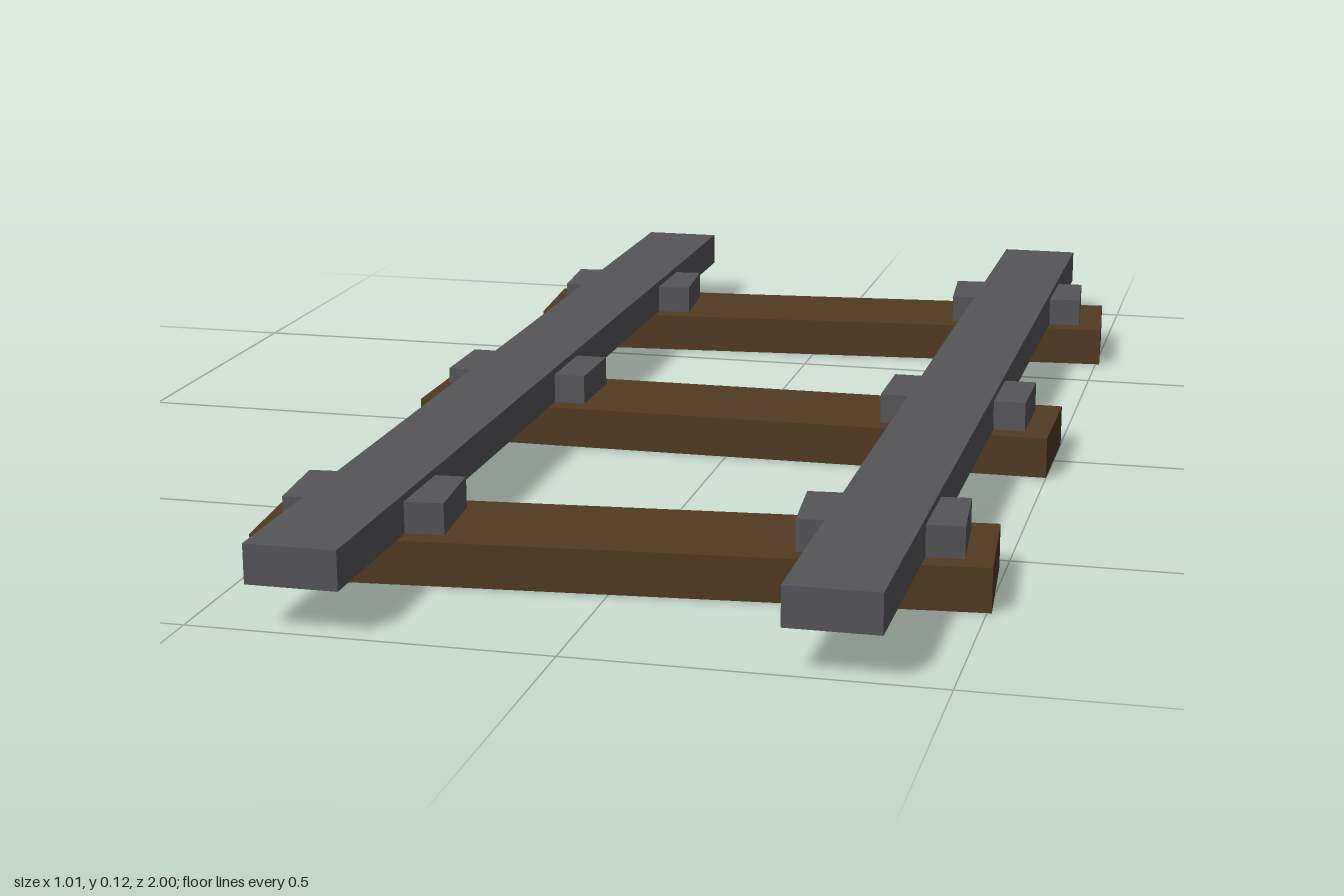
import * as THREE from 'three';

export function createModel() {
  const group = new THREE.Group();
  group.name = 'railTrack';
  const steel = new THREE.MeshStandardMaterial({ name: 'dark steel', color: 0x555559 });
  const wood = new THREE.MeshStandardMaterial({ name: 'brown wood', color: 0x523a21, side: THREE.DoubleSide });

  const addBox = (parent, name, size, pos, material, geometry = new THREE.BoxGeometry(...size)) => {
    const mesh = new THREE.Mesh(geometry, material);
    mesh.name = name;
    mesh.position.set(...pos);
    parent.add(mesh);
  };

  // Box without its underside, for the hollow sleepers
  const openBox = (w, h, d) => {
    const g = new THREE.BoxGeometry(w, h, d);
    const index = Array.from(g.index.array);
    index.splice(18, 6); // the -y face
    g.setIndex(index);
    g.clearGroups();
    return g;
  };

  // Sleepers with a fastening plate under each rail; the outer two lie askew
  const sleepers = [['back', -0.667, 5], ['middle', 0, 0], ['front', 0.667, 5]];
  for (const [place, z, degrees] of sleepers) {
    const tie = new THREE.Group();
    tie.name = place + 'Tie';
    tie.position.z = z;
    tie.rotation.y = THREE.MathUtils.degToRad(degrees);
    addBox(tie, place + 'Sleeper', null, [0, 0.031, 0], wood, openBox(1, 0.062, 0.19));
    for (const side of [-1, 1]) {
      addBox(tie, side > 0 ? 'leftRailPlate' : 'rightRailPlate', [0.224, 0.045, 0.126], [side * 0.35, 0.0845, 0], steel);
    }
    group.add(tie);
  }

  // Two long rails
  for (const side of [-1, 1]) {
    addBox(group, side > 0 ? 'leftRail' : 'rightRail', [0.127, 0.055, 2], [side * 0.35, 0.0895, 0], steel);
  }
  return group;
}
